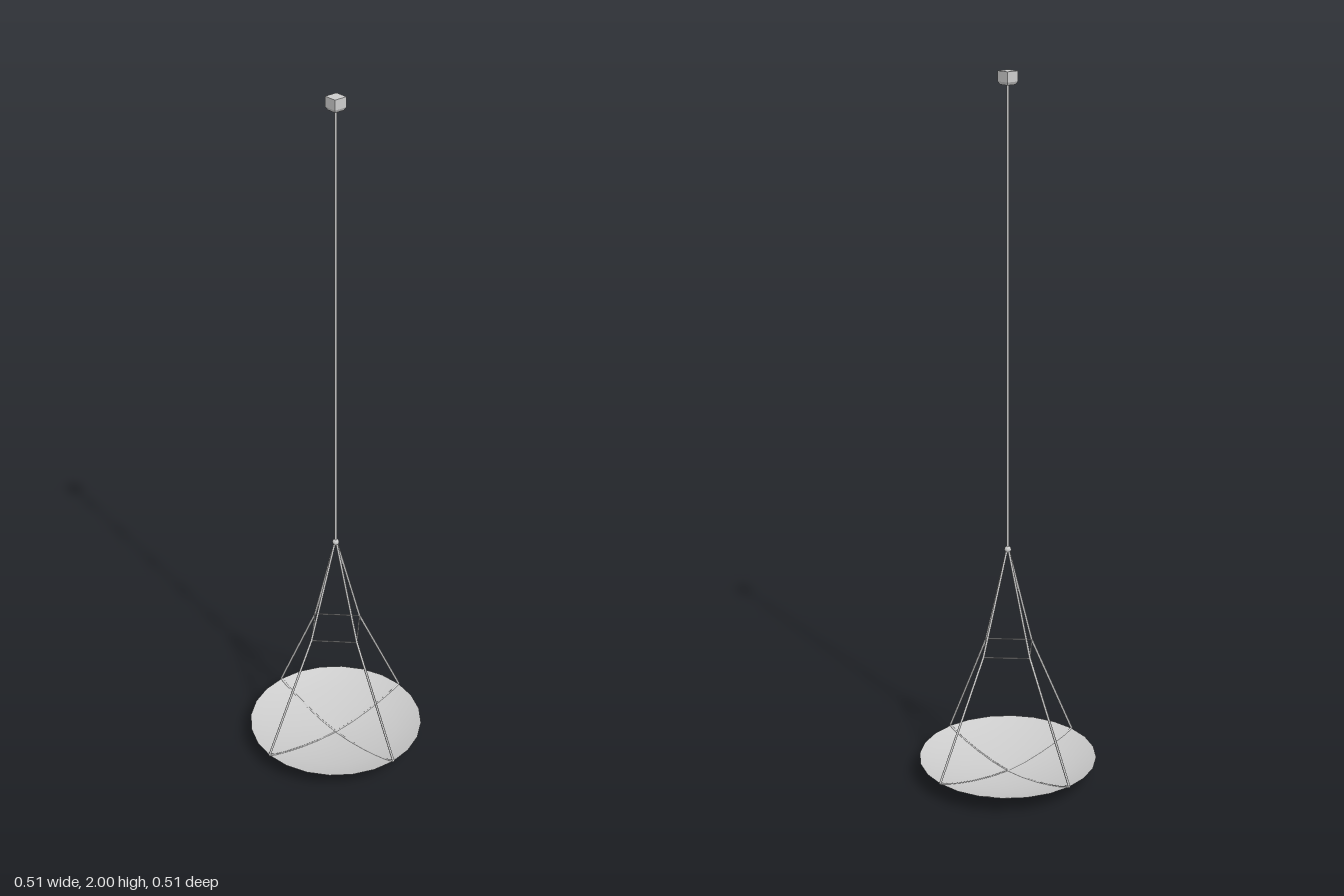
import * as THREE from 'three';

const V = (x, y, z) => new THREE.Vector3(x, y, z);

export function createModel() {
  const root = new THREE.Group();
  const metal = new THREE.MeshStandardMaterial({ color: 0xcccccc });
  const faceted = new THREE.MeshStandardMaterial({ color: 0xcccccc, flatShading: true });
  const thin = new THREE.MeshStandardMaterial({ color: 0xcccccc, side: THREE.DoubleSide });

  function add(name, geometry, material, parent = root) {
    const mesh = new THREE.Mesh(geometry, material);
    mesh.name = name;
    parent.add(mesh);
    return mesh;
  }

  // Straight strand between two points
  function strand(name, a, b, radius, parent = root) {
    const mesh = add(name, new THREE.CylinderGeometry(radius, radius, a.distanceTo(b), 6), metal, parent);
    mesh.position.copy(a).add(b).multiplyScalar(0.5);
    mesh.quaternion.setFromUnitVectors(V(0, 1, 0), b.clone().sub(a).normalize());
    return mesh;
  }

  // Shallow open dish
  const profile = [[0, 0.006], [0.065, 0.01], [0.13, 0.02], [0.18, 0.031], [0.22, 0.042], [0.254, 0.055]];
  add('dish', new THREE.LatheGeometry(profile.map(p => new THREE.Vector2(...p)), 24), thin);

  // Four cords: from the knot, out past the spreader, over the rim and under the dish
  const apexY = 0.69, ringY = 0.39, ringHalf = 0.065;
  for (let i = 0; i < 4; i++) {
    const cord = new THREE.Group();
    cord.name = 'cord' + (i + 1);
    cord.rotation.y = i * Math.PI / 2;
    root.add(cord);
    const path = [
      V(0.002, apexY, 0.002), V(ringHalf, ringY, ringHalf), V(0.18, 0.056, 0.18),
      ...profile.slice(0, -1).reverse().map(([r, y]) => V(r * Math.SQRT1_2, y - 0.002, r * Math.SQRT1_2)),
    ];
    for (let k = 0; k < path.length - 1; k++) strand('cordSegment', path[k], path[k + 1], 0.0035, cord);

    // One side of the square spreader
    strand('spreaderBar', V(-ringHalf, ringY, ringHalf), V(ringHalf, ringY, ringHalf), 0.0018, cord);
  }

  // Knot where the cords meet
  add('knot', new THREE.SphereGeometry(0.01, 8, 6), metal).position.y = apexY;

  // Long hanging line
  strand('hangingLine', V(0, apexY, 0), V(0, 1.975, 0), 0.004);

  // Square ceiling block, turned corner-forward, with a bevelled underside
  const block = [[0, 1.965], [0.02, 1.965], [0.026, 1.973], [0.026, 2], [0, 2]];
  add('ceilingBlock', new THREE.LatheGeometry(block.map(p => new THREE.Vector2(...p)), 4), faceted);

  return root;
}
